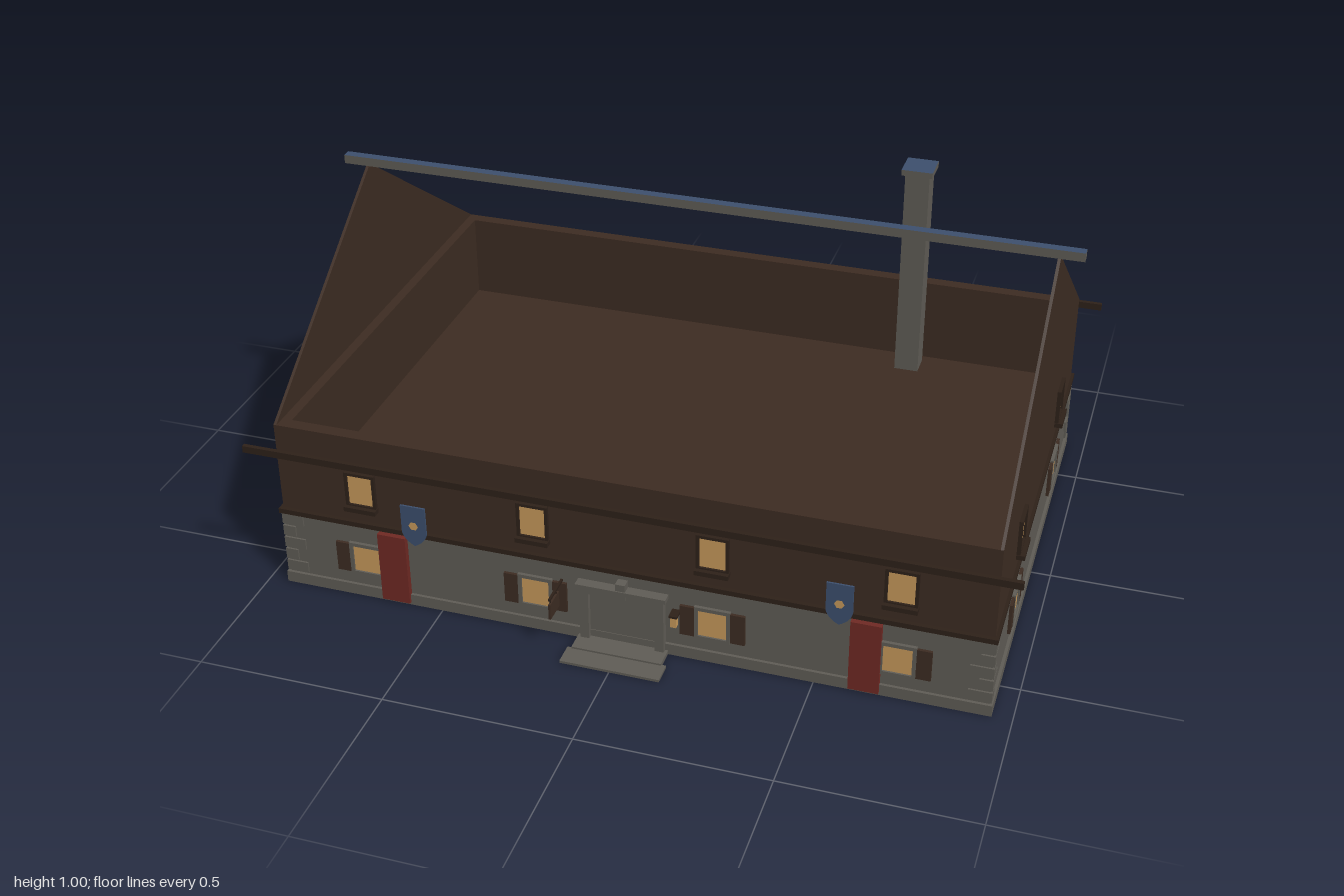
import * as THREE from 'three';

const mat = (name, color) => {
  const m = new THREE.MeshStandardMaterial({ color });
  m.name = name;
  return m;
};

export function createModel() {
  const timber = mat('timber', 0x3d2c22), trim = mat('darkTrim', 0x2e2119);
  const stone = mat('stone', 0x605d56), glow = mat('windowGlow', 0xc89a5c);
  const red = mat('redDoor', 0x702a24), blue = mat('slateBlue', 0x3d506e);

  const model = new THREE.Group();
  model.name = 'house';
  const house = new THREE.Group();
  house.name = 'building';
  house.position.z = -0.03;
  model.add(house);

  const HX = 0.94, HZ = 0.645; // half width and half depth of the walls

  const add = (parent, name, geo, material, x = 0, y = 0, z = 0) => {
    const m = new THREE.Mesh(geo, material);
    m.name = name;
    m.position.set(x, y, z);
    parent.add(m);
    return m;
  };
  // box given by its limits on each axis
  const box = (parent, name, material, x0, x1, y0, y1, z0, z1) =>
    add(parent, name, new THREE.BoxGeometry(x1 - x0, y1 - y0, z1 - z0), material,
      (x0 + x1) / 2, (y0 + y1) / 2, (z0 + z1) / 2);

  // hollow rectangular ring of walls
  const ring = (name, material, hx, hz, t, y0, y1) => {
    const s = new THREE.Shape([[-hx, -hz], [hx, -hz], [hx, hz], [-hx, hz]].map(p => new THREE.Vector2(...p)));
    const ix = hx - t, iz = hz - t;
    s.holes.push(new THREE.Path([[-ix, -iz], [-ix, iz], [ix, iz], [ix, -iz]].map(p => new THREE.Vector2(...p))));
    const g = new THREE.ExtrudeGeometry(s, { depth: y1 - y0, bevelEnabled: false });
    g.rotateX(-Math.PI / 2);
    return add(house, name, g, material, 0, y0, 0);
  };

  // walls, plinth, band and floors
  ring('groundFloorWalls', stone, HX, HZ, 0.035, 0, 0.222);
  ring('plinth', stone, HX + 0.008, HZ + 0.008, 0.008, 0, 0.032);
  ring('upperFloorWalls', timber, HX, HZ, 0.035, 0.222, 0.488);
  ring('floorBand', trim, HX + 0.008, HZ + 0.012, 0.012, 0.222, 0.236);
  box(house, 'groundSlab', stone, -0.91, 0.91, 0.03, 0.045, -0.615, 0.615);
  box(house, 'upperFloor', timber, -0.91, 0.91, 0.22, 0.245, -0.615, 0.615);

  // gables
  const tri = new THREE.Shape([[-HZ, 0], [HZ, 0], [0, 0.452]].map(p => new THREE.Vector2(...p)));
  const gableGeo = new THREE.ExtrudeGeometry(tri, { depth: 0.008, bevelEnabled: false });
  gableGeo.translate(0, 0, -0.004).rotateY(Math.PI / 2);
  for (const s of [-1, 1]) add(house, 'gable', gableGeo, timber, s * (HX - 0.004), 0.488, 0);

  // ridge and eave boards
  const topBlue = [stone, stone, blue, stone, stone, stone];
  box(house, 'ridge', topBlue, -1, 1, 0.938, 0.962, -0.013, 0.013);
  for (const s of [-1, 1]) box(house, 'eaveBoard', trim, -1, 1, 0.432, 0.451, s * 0.703 - 0.006, s * 0.703 + 0.006);

  // chimney
  box(house, 'chimney', stone, 0.49, 0.555, 0.4, 0.99, -0.32, -0.255);
  box(house, 'chimneyCap', topBlue, 0.481, 0.564, 0.988, 1.004, -0.329, -0.246);

  // corner stones, alternating long and short
  for (const sx of [-1, 1]) for (const sz of [-1, 1]) for (let i = 0; i < 5; i++) {
    const a = i % 2 ? 0.035 : 0.06, b = i % 2 ? 0.06 : 0.035;
    add(house, 'cornerStone', new THREE.BoxGeometry(a, 0.031, b), stone,
      sx * (HX + 0.005 - a / 2), 0.053 + i * 0.037, sz * (HZ + 0.005 - b / 2));
  }

  // windows, built facing +z with the wall at z = 0
  const frame = (g, material, hw, y0, y1, t, d) => {
    for (const s of [-1, 1]) {
      const x = s * (hw - t / 2);
      box(g, 'windowJamb', material, x - t / 2, x + t / 2, y0, y1, 0, d);
    }
    box(g, 'windowHead', material, -hw, hw, y1 - t, y1, 0, d);
    box(g, 'windowFoot', material, -hw, hw, y0, y0 + t, 0, d);
  };
  const windows = (x, z, angle) => {
    const lower = new THREE.Group(), upper = new THREE.Group();
    lower.name = 'shutteredWindow';
    upper.name = 'upperWindow';
    for (const g of [lower, upper]) {
      g.position.set(x, 0, z);
      g.rotation.y = angle;
      house.add(g);
    }
    box(lower, 'windowPane', glow, -0.037, 0.037, 0.075, 0.158, 0, 0.004);
    frame(lower, stone, 0.047, 0.067, 0.165, 0.01, 0.009);
    for (const s of [-1, 1]) box(lower, 'shutter', timber, s * 0.066 - 0.019, s * 0.066 + 0.019, 0.072, 0.16, 0, 0.008);
    box(upper, 'windowPane', glow, -0.034, 0.034, 0.29, 0.377, 0, 0.004);
    frame(upper, trim, 0.042, 0.282, 0.385, 0.008, 0.01);
    box(upper, 'windowSill', trim, -0.044, 0.044, 0.273, 0.286, 0, 0.022);
  };
  for (const x of [-0.708, -0.236, 0.236, 0.708]) {
    windows(x, HZ, 0);
    windows(x, -HZ, Math.PI);
  }
  for (const z of [-0.325, 0.325]) {
    windows(HX, z, Math.PI / 2);
    windows(-HX, z, -Math.PI / 2);
  }

  // front details, with the wall at z = 0
  const front = new THREE.Group();
  front.name = 'frontDetails';
  front.position.z = HZ;
  house.add(front);

  // portal with keystone, stone door and steps
  for (const s of [-1, 1]) box(front, 'portalPost', stone, s * 0.1 - 0.012, s * 0.1 + 0.012, 0, 0.16, 0, 0.02);
  box(front, 'portalLintel', stone, -0.112, 0.112, 0.152, 0.172, 0, 0.02);
  box(front, 'portalCornice', stone, -0.12, 0.12, 0.17, 0.182, 0, 0.028);
  box(front, 'keystone', stone, -0.013, 0.013, 0.155, 0.202, 0, 0.025);
  box(front, 'portalDoor', stone, -0.09, 0.09, 0, 0.153, 0, 0.006);
  box(front, 'upperStep', stone, -0.12, 0.12, 0, 0.012, 0, 0.066);
  box(front, 'lowerStep', stone, -0.132, 0.132, 0, 0.007, 0.062, 0.122);

  // red side doors and blue shields with a pale emblem
  const shield = new THREE.Shape();
  shield.moveTo(-0.034, 0.06);
  shield.lineTo(-0.034, -0.02);
  shield.quadraticCurveTo(-0.03, -0.045, 0, -0.06);
  shield.quadraticCurveTo(0.03, -0.045, 0.034, -0.02);
  shield.lineTo(0.034, 0.06);
  const shieldGeo = new THREE.ExtrudeGeometry(shield, { depth: 0.005, bevelEnabled: false });
  for (const s of [-1, 1]) {
    box(front, 'redDoor', red, s * 0.628 - 0.039, s * 0.628 + 0.039, 0.008, 0.214, 0, 0.016);
    add(front, 'shield', shieldGeo, blue, s * 0.56, 0.26, 0.012);
    add(front, 'shieldEmblem', new THREE.CircleGeometry(0.013, 6), glow, s * 0.56, 0.262, 0.0185);
  }

  // hanging board on a bracket, and a lantern
  box(front, 'signBracket', trim, -0.168, -0.162, 0.163, 0.169, 0, 0.092);
  box(front, 'signBoard', timber, -0.168, -0.162, 0.107, 0.152, 0.03, 0.092);
  for (const z of [0.04, 0.08]) box(front, 'signHanger', trim, -0.166, -0.164, 0.15, 0.165, z, z + 0.003);
  box(front, 'lantern', glow, 0.133, 0.149, 0.105, 0.135, 0.014, 0.03);
  box(front, 'lanternCap', trim, 0.13, 0.152, 0.135, 0.141, 0, 0.033);

  return model;
}
